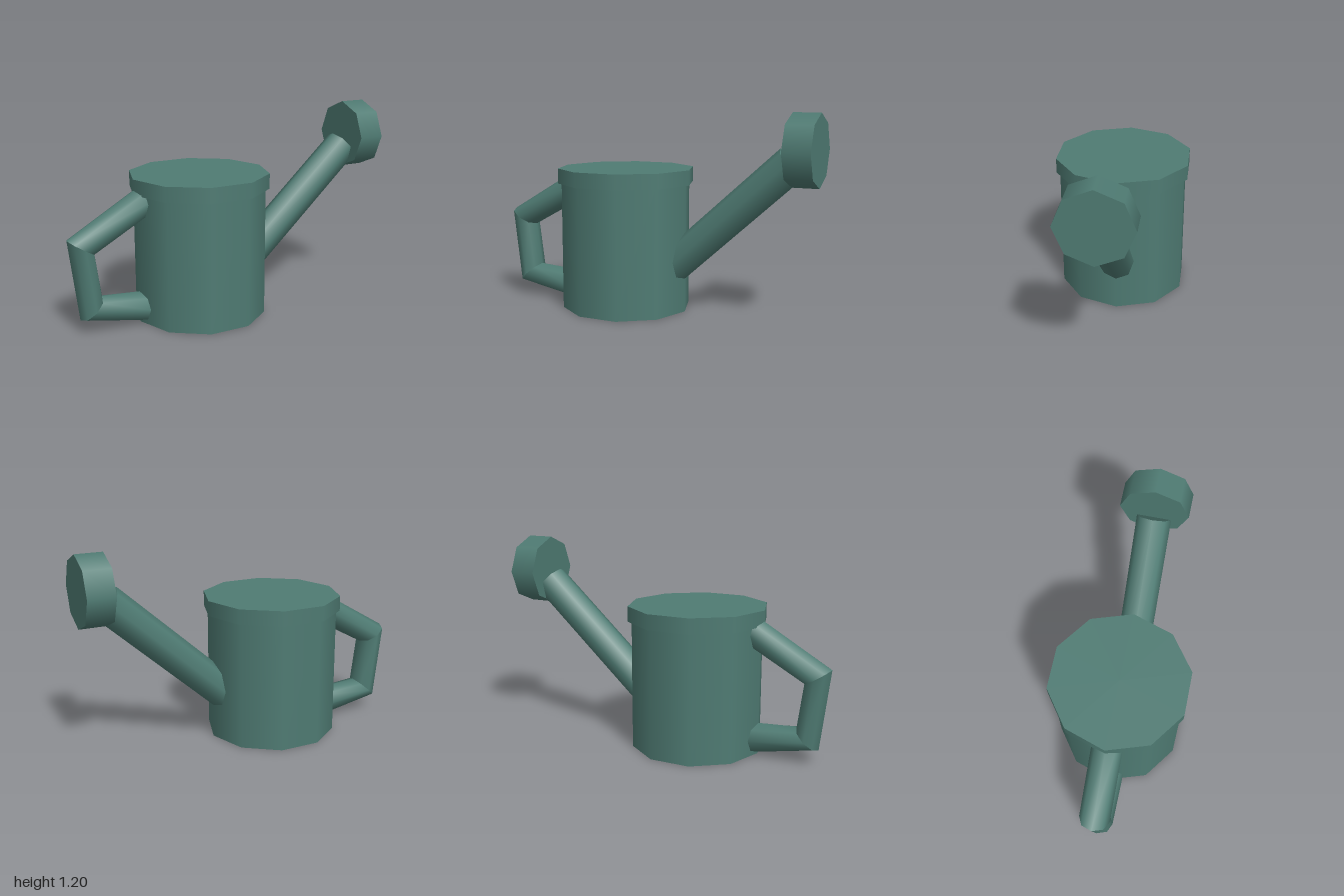
import * as THREE from 'three';

const green = new THREE.MeshStandardMaterial({ color: 0x4f7b73 });
green.name = 'muted green';

function add(group, name, geometry, x, y, z = 0) {
  const mesh = new THREE.Mesh(geometry, green);
  mesh.name = name;
  mesh.position.set(x, y, z);
  group.add(mesh);
  return mesh;
}

// Ten-sided drum with corners pointing along x
const drum = (r, h) => new THREE.CylinderGeometry(r, r, h, 10, 1, false, Math.PI / 2);

// Eight-sided mitred bar between two cross-sections given by [outerX, outerY, innerX, innerY]
function barGeometry(from, to, halfDepth, sides = 8) {
  const positions = [], index = [];
  for (const [ox, oy, ix, iy] of [from, to]) {
    for (let k = 0; k < sides; k++) {
      const a = (k / sides) * Math.PI * 2, c = Math.cos(a) / 2;
      positions.push((ox + ix) / 2 + (ox - ix) * c, (oy + iy) / 2 + (oy - iy) * c, halfDepth * Math.sin(a));
    }
  }
  for (let k = 0; k < sides; k++) {
    const n = (k + 1) % sides;
    index.push(k, k + sides, n, n, k + sides, n + sides);
  }
  const geometry = new THREE.BufferGeometry();
  geometry.setAttribute('position', new THREE.Float32BufferAttribute(positions, 3));
  geometry.setIndex(index);
  geometry.computeVertexNormals();
  return geometry;
}

export function createModel() {
  const can = new THREE.Group();
  can.name = 'wateringCan';

  // Body and overhanging lid
  add(can, 'body', drum(0.392, 0.8), -0.187, 0.4);
  add(can, 'lid', drum(0.414, 0.09), -0.186, 0.808);

  // Slanted spout, its lower end buried in the body
  const start = new THREE.Vector2(0.1, 0.248), end = new THREE.Vector2(0.845, 0.922);
  const along = end.clone().sub(start);
  const spout = add(can, 'spout', new THREE.CylinderGeometry(0.104, 0.104, along.length(), 8),
    (start.x + end.x) / 2, (start.y + end.y) / 2);
  spout.rotation.z = along.angle() - Math.PI / 2;

  // Sprinkler head facing sideways
  const head = add(can, 'sprinklerHead', new THREE.CylinderGeometry(0.207, 0.207, 0.16, 8), 0.92, 0.992);
  head.rotation.z = -Math.PI / 2;

  // Handle bent in three straight bars
  const handle = new THREE.Group();
  handle.name = 'handle';
  const joints = [
    [-0.53, 0.83, -0.45, 0.675],
    [-1.0, 0.555, -0.845, 0.46],
    [-0.943, 0.08, -0.81, 0.2],
    [-0.55, 0.002, -0.53, 0.183],
  ];
  ['handleTop', 'handleGrip', 'handleBottom'].forEach((name, i) =>
    add(handle, name, barGeometry(joints[i], joints[i + 1], 0.09), 0, 0));
  can.add(handle);

  return can;
}
